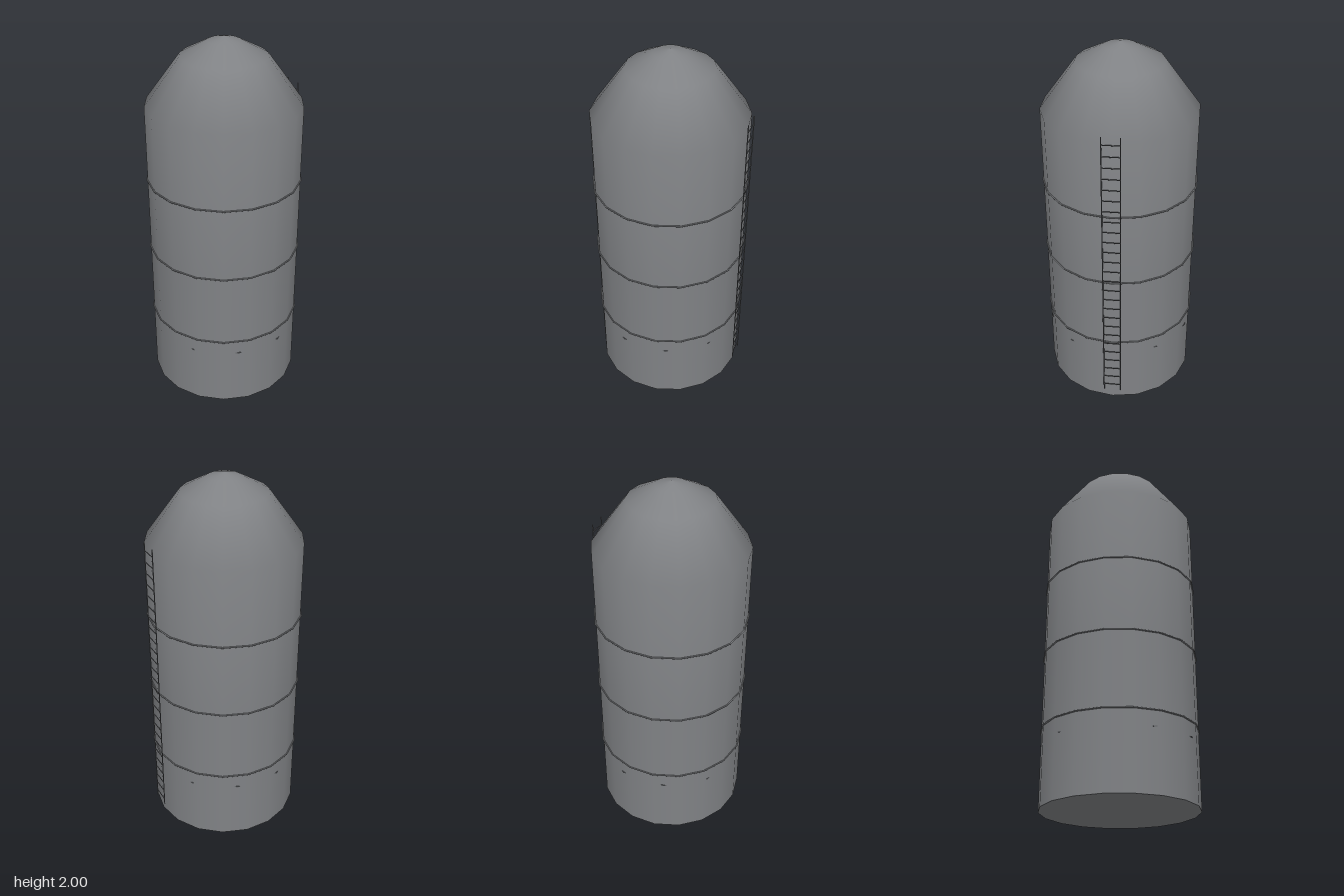
import * as THREE from 'three';

const CENTRE_X = -0.0045; // the ladder sticks out on +x, so the tank sits slightly off centre
const SIDES = 18;

export function createModel() {
  const model = new THREE.Group();
  model.name = 'silo';
  const steel = new THREE.MeshStandardMaterial({ color: 0x808285 });
  steel.name = 'grey steel';
  const darkSteel = new THREE.MeshStandardMaterial({ color: 0x66686b });
  darkSteel.name = 'dark steel';

  const add = (name, geometry, material, x, y, z = 0, parent = model) => {
    const mesh = new THREE.Mesh(geometry, material);
    mesh.name = name;
    mesh.position.set(x, y, z);
    parent.add(mesh);
    return mesh;
  };

  // Wall and domed roof in one smooth profile, a corner pointing along +x
  const profile = [
    [0.412, 0], [0.412, 0.825], [0.412, 1.65],
    [0.227, 1.903], [0.085, 1.978], [0, 2],
  ].map(([r, y]) => new THREE.Vector2(r, y));
  add('tankShell', new THREE.LatheGeometry(profile, SIDES, Math.PI / 2), steel, CENTRE_X, 0);

  // Flat underside
  const base = add('base', new THREE.CircleGeometry(0.412, SIDES), steel, CENTRE_X, 0);
  base.rotation.x = Math.PI / 2;

  // Three hoops around the wall
  const hoop = new THREE.TorusGeometry(0.4157, 0.004, 8, SIDES);
  hoop.rotateX(Math.PI / 2);
  for (let i = 1; i <= 3; i++) add('hoop' + i, hoop, steel, CENTRE_X, i * 0.4125);

  // Ten-sided inner floor whose corners just break through the wall
  const floor = new THREE.CylinderGeometry(0.4115, 0.4115, 0.005, 10, 1, false, Math.PI / 2);
  add('innerFloor', floor, darkSteel, CENTRE_X, 0.331);

  // Ladder: two rails and evenly spaced rungs
  const ladder = new THREE.Group();
  ladder.name = 'ladder';
  ladder.position.set(0.4205, 0, -0.001);
  model.add(ladder);
  const rail = new THREE.CylinderGeometry(0.003, 0.003, 1.627, 8);
  for (const side of [-1, 1]) {
    add(side > 0 ? 'frontRail' : 'backRail', rail, darkSteel, 0, 0.8785, side * 0.047, ladder);
  }
  const rung = new THREE.CylinderGeometry(0.0025, 0.0025, 0.094, 8);
  rung.rotateX(Math.PI / 2);
  for (let i = 0; i < 26; i++) add('rung' + (i + 1), rung, darkSteel, 0, 0.105 + i * 0.0618, 0, ladder);

  return model;
}
